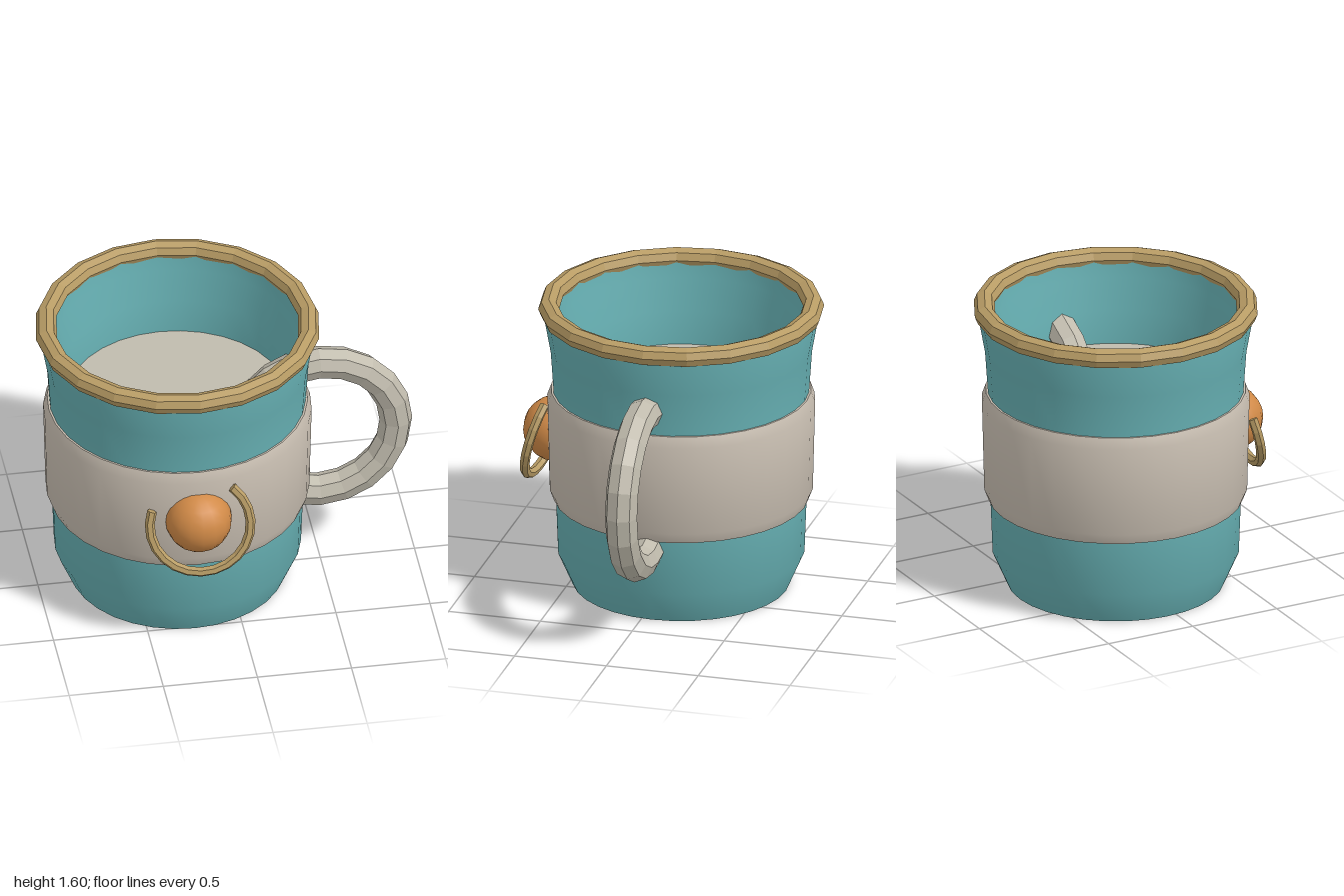
import * as THREE from 'three';
import { toCreasedNormals } from 'three/addons/utils/BufferGeometryUtils.js';

const paint = (name, color, flatShading = false) => {
  const m = new THREE.MeshStandardMaterial({ color, flatShading });
  m.name = name;
  return m;
};

export function createModel() {
  const teal = paint('teal glaze', 0x66afb2);
  const cream = paint('warm cream', 0xc8beb1);
  const stone = paint('pale stone', 0xc0bbad, true);
  const gold = paint('gold', 0xb89c65, true);
  const orange = paint('orange', 0xd18a47);

  const model = new THREE.Group();
  model.name = 'mug';
  const AXIS_X = -0.25, AXIS_Z = -0.055;

  const add = (name, geometry, material, x, y, z) => {
    const mesh = new THREE.Mesh(geometry, material);
    mesh.name = name;
    mesh.position.set(x, y, z);
    model.add(mesh);
    return mesh;
  };
  const lathe = (points, segments = 32) => toCreasedNormals(
    new THREE.LatheGeometry(points.map(p => new THREE.Vector2(...p)), segments), 0.6);

  // Hollow cup: base, outer wall, lip, inner wall, floor
  add('cup', lathe([
    [0, 0], [0.57, 0], [0.648, 0.18], [0.66, 0.5], [0.673, 1.1], [0.688, 1.32], [0.72, 1.5],
    [0.715, 1.55], [0.65, 1.55], [0.635, 1.45], [0.595, 1.28], [0.575, 1.1], [0.56, 0.2], [0, 0.15],
  ]), teal, AXIS_X, 0, AXIS_Z);

  // Wide band with bevelled edges
  add('band', lathe([
    [0.655, 0.482], [0.67, 0.482], [0.692, 0.54], [0.704, 1.03], [0.683, 1.088], [0.665, 1.088],
  ]), cream, AXIS_X, 0, AXIS_Z);

  // Faceted rim
  add('rim', new THREE.TorusGeometry(0.695, 0.055, 8, 20), gold, AXIS_X, 1.545, AXIS_Z)
    .rotation.x = Math.PI / 2;

  // Filling, level with the top of the band
  add('filling', new THREE.CircleGeometry(0.578, 32), stone, AXIS_X, 1.1, AXIS_Z)
    .rotation.x = -Math.PI / 2;

  // Ring handle, passing through the wall into the cup
  add('handle', new THREE.TorusGeometry(0.41, 0.087, 8, 20), stone, 0.5, 0.815, AXIS_Z);

  // Round ornament and the tilted open ring around it
  add('ornamentBall', new THREE.SphereGeometry(0.175, 16, 12), orange, AXIS_X, 0.785, 0.625);
  const ringArc = THREE.MathUtils.degToRad(248);
  const ringGeometry = new THREE.TorusGeometry(0.265, 0.026, 6, 16, ringArc);
  ringGeometry.rotateZ(THREE.MathUtils.degToRad(160));
  const ring = add('ornamentRing', ringGeometry, gold, AXIS_X, 0.785, 0.675);
  ring.rotation.set(-0.27, -0.1, 0);

  // End caps of the open ring
  for (const [deg, turn] of [[160, Math.PI / 2], [408, -Math.PI / 2]]) {
    const a = THREE.MathUtils.degToRad(deg);
    const cap = new THREE.Mesh(new THREE.CircleGeometry(0.026, 6), gold);
    cap.name = 'ringEnd';
    cap.position.set(0.265 * Math.cos(a), 0.265 * Math.sin(a), 0);
    cap.rotation.set(turn, 0, a, 'ZXY');
    ring.add(cap);
  }
  return model;
}
